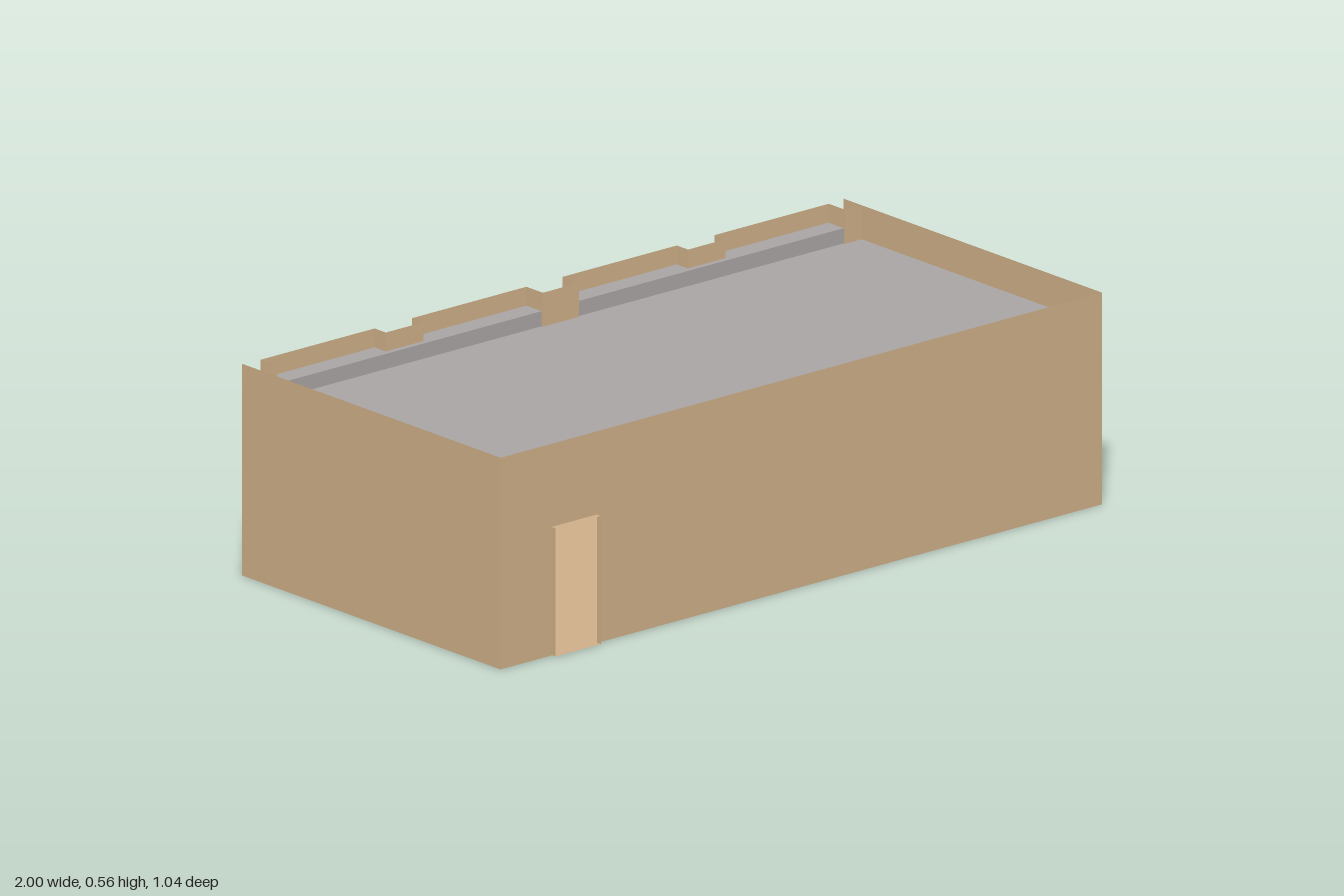
import * as THREE from 'three';

export function createModel() {
  const model = new THREE.Group();
  const tan = new THREE.MeshStandardMaterial({ color: 0xd0b189, side: THREE.DoubleSide });
  tan.name = 'tan wall';
  const grey = new THREE.MeshStandardMaterial({ color: 0xaaa6a5, side: THREE.DoubleSide });
  grey.name = 'grey roof';

  const H = 0.56, FRONT = 0.505, BACK = -0.485, PANEL = -0.478;
  const SILL = 0.215, SLOT = 0.2;

  const add = (name, geo, mat = tan) => {
    const mesh = new THREE.Mesh(geo, mat);
    mesh.name = name;
    model.add(mesh);
    return mesh;
  };
  // Thin sheets lying in each of the three main planes
  const sheetXY = (name, x0, x1, y0, y1, z, mat) =>
    add(name, new THREE.PlaneGeometry(x1 - x0, y1 - y0), mat).position.set((x0 + x1) / 2, (y0 + y1) / 2, z);
  const sheetYZ = (name, x, y0, y1, z0, z1, mat) =>
    add(name, new THREE.PlaneGeometry(z1 - z0, y1 - y0).rotateY(Math.PI / 2), mat)
      .position.set(x, (y0 + y1) / 2, (z0 + z1) / 2);
  const sheetXZ = (name, x0, x1, y, z0, z1, mat) =>
    add(name, new THREE.PlaneGeometry(x1 - x0, z1 - z0).rotateX(-Math.PI / 2), mat)
      .position.set((x0 + x1) / 2, y, (z0 + z1) / 2);
  // Open rectangular sleeve around an opening
  const sleeve = (name, x0, x1, y0, y1, z0, z1) => {
    for (const x of [x0, x1]) sheetYZ(name, x, y0, y1, z0, z1);
    for (const y of [y0, y1]) sheetXZ(name, x0, x1, y, z0, z1);
  };
  const outline = pts => new THREE.Shape(pts.map(p => new THREE.Vector2(...p)));

  // Floor and side walls
  sheetXZ('floor', -1, 1, 0, BACK, FRONT);
  for (const x of [-1, 1]) sheetYZ('sideWall', x, 0, H, BACK, FRONT);

  // Front wall with the doorway cut out
  const D0 = -0.83, D1 = -0.68, DH = 0.34;
  add('frontWall', new THREE.ShapeGeometry(outline([
    [-1, 0], [D0, 0], [D0, DH], [D1, DH], [D1, 0], [1, 0], [1, H], [-1, H],
  ]))).position.z = FRONT;
  sleeve('doorFrame', D0, D1, 0.001, DH, FRONT, 0.52);

  // Roof sheet, stepping up along the back
  sheetXZ('roof', -1, 1, 0.47, -0.42, FRONT, grey);
  sheetXY('roofStep', -1, 1, 0.47, 0.51, -0.42, grey);
  sheetXZ('roofBackStrip', -1, 1, 0.51, PANEL, -0.42, grey);

  // Back wall: each half is a low wall carrying two window panels
  for (const s of [-1, 1]) {
    const wall = outline([
      [0.04, 0], [0.97, 0], [0.97, SLOT], [0.945, SLOT], [0.945, H], [0.565, H], [0.565, SLOT],
      [0.44, SLOT], [0.44, H], [0.06, H], [0.06, SLOT], [0.04, SLOT],
    ].map(([x, y]) => [s * x, y]));
    for (const [a, b] of [[0.105, 0.4], [0.61, 0.905]]) {
      const x0 = Math.min(s * a, s * b), x1 = Math.max(s * a, s * b);
      wall.holes.push(new THREE.Path(
        [[x0, SILL], [x0, 0.47], [x1, 0.47], [x1, SILL]].map(p => new THREE.Vector2(...p))));
      sleeve('windowFrame', x0, x1, SILL, 0.47, -0.52, PANEL);
    }
    const geo = new THREE.ShapeGeometry(wall);
    add('backWall', geo).position.z = PANEL;

    // Recess between the two panels
    const m0 = Math.min(s * 0.44, s * 0.565), m1 = Math.max(s * 0.44, s * 0.565);
    sheetXY('middleRecess', m0, m1, SLOT, H, -0.435);
    sheetXZ('recessLedge', m0, m1, SLOT, PANEL, -0.435);
    for (const x of [m0, m1]) sheetYZ('recessSide', x, SLOT, H, PANEL, -0.435);

    // Recess at the outer corner
    const e0 = Math.min(s * 0.945, s), e1 = Math.max(s * 0.945, s);
    sheetXY('cornerRecess', e0, e1, 0, H, -0.415);
    sheetYZ('cornerRecessSide', s * 0.945, SLOT, H, PANEL, -0.415);
    sheetYZ('cornerRecessLowerSide', s * 0.97, 0, SLOT, PANEL, -0.415);
    sheetXZ('cornerLedge', Math.min(s * 0.945, s * 0.97), Math.max(s * 0.945, s * 0.97), SLOT, PANEL, -0.415);

    // Sides of the central recess
    sheetYZ('centreRecessSide', s * 0.06, SLOT, H, PANEL, -0.415);
    sheetYZ('centreRecessLowerSide', s * 0.04, 0, SLOT, PANEL, -0.415);
    sheetXZ('centreLedge', Math.min(s * 0.04, s * 0.06), Math.max(s * 0.04, s * 0.06), SLOT, PANEL, -0.415);
  }
  sheetXY('centreRecess', -0.06, 0.06, 0, H, -0.415);

  return model;
}
